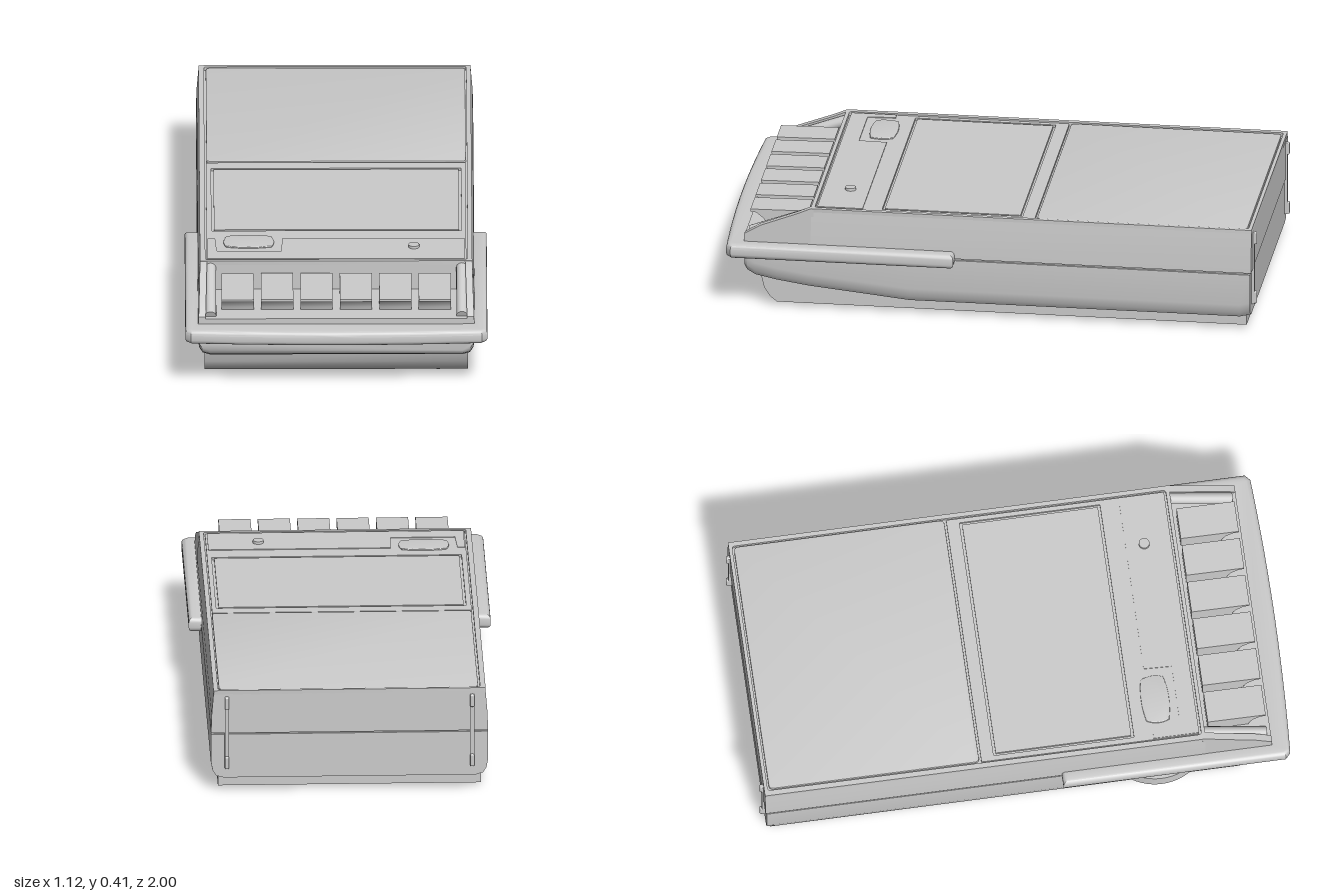
import * as THREE from 'three';
import { toCreasedNormals } from 'three/addons/utils/BufferGeometryUtils.js';
import { RoundedBoxGeometry } from 'three/addons/geometries/RoundedBoxGeometry.js';

const grey = new THREE.MeshStandardMaterial({ color: 0xcccccc });

export function createModel() {
  const model = new THREE.Group();

  const add = (name, geometry, x = 0, y = 0, z = 0) => {
    const mesh = new THREE.Mesh(geometry, grey);
    mesh.name = name;
    mesh.position.set(x, y, z);
    model.add(mesh);
    return mesh;
  };
  // Box given by its limits
  const box = (name, x0, x1, y0, y1, z0, z1) =>
    add(name, new THREE.BoxGeometry(x1 - x0, y1 - y0, z1 - z0), (x0 + x1) / 2, (y0 + y1) / 2, (z0 + z1) / 2);

  const shapeOf = (pts) => new THREE.Shape(pts.map(([a, b]) => new THREE.Vector2(a, b)));

  // Side profile (z, y) swept along x, centred
  const sweepX = (pts, width) => {
    const g = new THREE.ExtrudeGeometry(shapeOf(pts), { depth: width, bevelEnabled: false });
    g.rotateY(-Math.PI / 2).translate(width / 2, 0, 0);
    return toCreasedNormals(g, 0.5);
  };

  // Plan shape (x, z) extruded downwards from the top height
  const plate = (shape, top, depth, bevel = 0) => {
    const g = new THREE.ExtrudeGeometry(shape, {
      depth: depth - 2 * bevel, bevelEnabled: bevel > 0, bevelSize: bevel,
      bevelThickness: bevel, bevelSegments: 4, curveSegments: 12,
    });
    g.rotateX(Math.PI / 2).translate(0, top - bevel, 0);
    return toCreasedNormals(g, 0.5);
  };

  const roundRect = (x0, x1, z0, z1, r, Type = THREE.Shape) => {
    const s = new Type();
    s.moveTo(x0 + r, z0).lineTo(x1 - r, z0).quadraticCurveTo(x1, z0, x1, z0 + r);
    s.lineTo(x1, z1 - r).quadraticCurveTo(x1, z1, x1 - r, z1);
    s.lineTo(x0 + r, z1).quadraticCurveTo(x0, z1, x0, z1 - r);
    s.lineTo(x0, z0 + r).quadraticCurveTo(x0, z0, x0 + r, z0);
    return s;
  };

  // Loft of mirrored half sections [x, y] (bottom to top), listed front to back
  const loft = (sections) => {
    const pos = [], idx = [];
    const rings = sections.map(({ z, half }) =>
      [...half, ...half.slice().reverse().map(([x, y]) => [-x, y])].map(([x, y]) => [x, y, z]));
    const n = rings[0].length;
    rings.forEach((ring) => ring.forEach((p) => pos.push(...p)));
    for (let i = 0; i < rings.length - 1; i++) {
      for (let j = 0; j < n; j++) {
        const a = i * n + j, b = i * n + (j + 1) % n;
        idx.push(a, a + n, b + n, a, b + n, b);
      }
    }
    const last = (rings.length - 1) * n;
    for (let j = 1; j < n - 1; j++) idx.push(0, j, j + 1, last, last + j + 1, last + j);
    const g = new THREE.BufferGeometry();
    g.setAttribute('position', new THREE.Float32BufferAttribute(pos, 3));
    g.setIndex(idx);
    return toCreasedNormals(g, 0.6);
  };

  // Lower shell: rounded flanks whose lower edge rises towards the front
  const lowerStations = [
    [0.92, 0.15], [0.91, 0.133], [0.88, 0.115], [0.8, 0.098], [0.68, 0.08],
    [0.5, 0.062], [0.3, 0.042], [-0.94, 0.042], [-0.98, 0.052],
  ];
  add('lowerShell', loft(lowerStations.map(([z, y]) => ({
    z,
    half: [[0.47, y], [0.497, y + 0.008], [0.51, y + 0.028], [0.516, y + 0.06], [0.516, 0.224]],
  }))));

  // Base tray with a swept-back front
  add('baseTray', sweepX([[-0.965, 0.015], [0.8, 0.015], [0.825, 0.035], [0.848, 0.07],
    [0.86, 0.12], [-0.965, 0.12]], 0.98));

  // Seam between the shells
  box('seam', -0.507, 0.507, 0.2, 0.26, -0.973, 0.9);

  // Upper shell, tapering slightly towards the top
  const upperHalf = [[0.516, 0.231], [0.514, 0.3], [0.507, 0.386]];
  add('upperShell', loft([0.67, -0.985].map((z) => ({ z, half: upperHalf }))));

  // Raised rim around the deck
  const rim = roundRect(-0.507, 0.507, -0.985, 0.672, 0.004);
  rim.holes.push(roundRect(-0.487, 0.49, -0.972, 0.658, 0.012, THREE.Path));
  add('deckRim', plate(rim, 0.4, 0.016));

  // Rear lid panel, middle deck and cassette door, parted by grooves
  add('lidPanel', plate(roundRect(-0.478, 0.484, -0.964, -0.178, 0.015), 0.398, 0.014, 0.002));
  const deck = roundRect(-0.482, 0.485, -0.168, 0.651, 0.006);
  deck.holes.push(roundRect(-0.463, 0.468, -0.12, 0.408, 0.004, THREE.Path));
  add('middleDeck', plate(deck, 0.396, 0.012));
  add('cassetteDoor', plate(roundRect(-0.454, 0.459, -0.111, 0.399, 0.004), 0.396, 0.012));

  // Control strip, with a stepped well around the slide
  add('controlStrip', plate(shapeOf([[-0.2, 0.48], [0.478, 0.48], [0.478, 0.65], [-0.478, 0.65],
    [-0.478, 0.48], [-0.45, 0.48], [-0.444, 0.585], [-0.204, 0.585]]), 0.399, 0.01));
  const slide = new THREE.Shape();
  slide.moveTo(-0.405, 0.465).quadraticCurveTo(-0.325, 0.448, -0.245, 0.465);
  slide.quadraticCurveTo(-0.225, 0.505, -0.242, 0.545).quadraticCurveTo(-0.325, 0.565, -0.408, 0.545);
  slide.quadraticCurveTo(-0.425, 0.505, -0.405, 0.465);
  add('slideSwitch', plate(slide, 0.402, 0.012, 0.003));
  add('smallButton', new THREE.CylinderGeometry(0.02, 0.021, 0.02, 20), 0.29, 0.399, 0.55);

  // Key bay: floor, sloping cheeks and rounded side posts
  box('keyBayFloor', -0.5, 0.5, 0.225, 0.282, 0.66, 0.92);
  for (const side of [-1, 1]) {
    const cheek = sweepX([[0.66, 0.231], [0.92, 0.231], [0.92, 0.29], [0.86, 0.325],
      [0.72, 0.378], [0.67, 0.4], [0.66, 0.4]], 0.026);
    const p = cheek.attributes.position;
    for (let i = 0; i < p.count; i++) p.setX(i, p.getX(i) - side * (p.getY(i) - 0.231) * 0.055);
    add('keyBayCheek', cheek, side * 0.503);
    const from = new THREE.Vector3(side * 0.468, 0.372, 0.665);
    const to = new THREE.Vector3(side * 0.468, 0.285, 0.9);
    const post = add('keyBayPost', new THREE.CylinderGeometry(0.021, 0.021, from.distanceTo(to), 16));
    post.position.lerpVectors(from, to, 0.5);
    post.quaternion.setFromUnitVectors(new THREE.Vector3(0, 1, 0), to.clone().sub(from).normalize());
  }

  // Six piano keys: a thin flat top on a concave front
  const keyProfile = [[0.69, 0.27], [0.84, 0.27], [0.845, 0.295], [0.858, 0.32], [0.885, 0.342],
    [0.908, 0.346], [0.908, 0.355], [0.69, 0.358]];
  for (let i = 0; i < 6; i++) add('key', sweepX(keyProfile, 0.12), -0.367 + i * 0.1468);

  // Wrap-around bumper with a slightly bowed front
  const u = new THREE.Shape();
  u.moveTo(-0.545, 0.147).lineTo(-0.545, 0.958).lineTo(-0.535, 0.967);
  u.quadraticCurveTo(0, 0.998, 0.535, 0.967).lineTo(0.545, 0.958).lineTo(0.545, 0.147);
  u.lineTo(0.52, 0.147).lineTo(0.51, 0.9).lineTo(-0.51, 0.9).lineTo(-0.52, 0.147);
  add('bumper', plate(u, 0.26, 0.055, 0.0175));

  // Thumbwheel showing through the right flank
  add('thumbwheel', new THREE.CylinderGeometry(0.2, 0.2, 0.06, 64), -0.355, 0.135, 0.5);

  // Thin vertical ribs on the back
  for (const x of [-0.457, 0.457]) {
    box('backRib', x - 0.008, x + 0.008, 0.09, 0.375, -0.991, -0.97);
    for (const y of [0.115, 0.352]) {
      add('backRibEnd', new RoundedBoxGeometry(0.016, 0.048, 0.025, 2, 0.005), x, y, -0.987);
    }
  }

  // Three round feet and a thin stop bar underneath
  for (const [x, z] of [[-0.385, 0.745], [0.38, 0.745], [-0.022, -0.865]]) {
    add('foot', new THREE.CylinderGeometry(0.043, 0.038, 0.014, 28), x, 0.013, z);
  }
  box('stopBar', -0.12, 0.07, 0, 0.02, -0.517, -0.503);

  return model;
}
